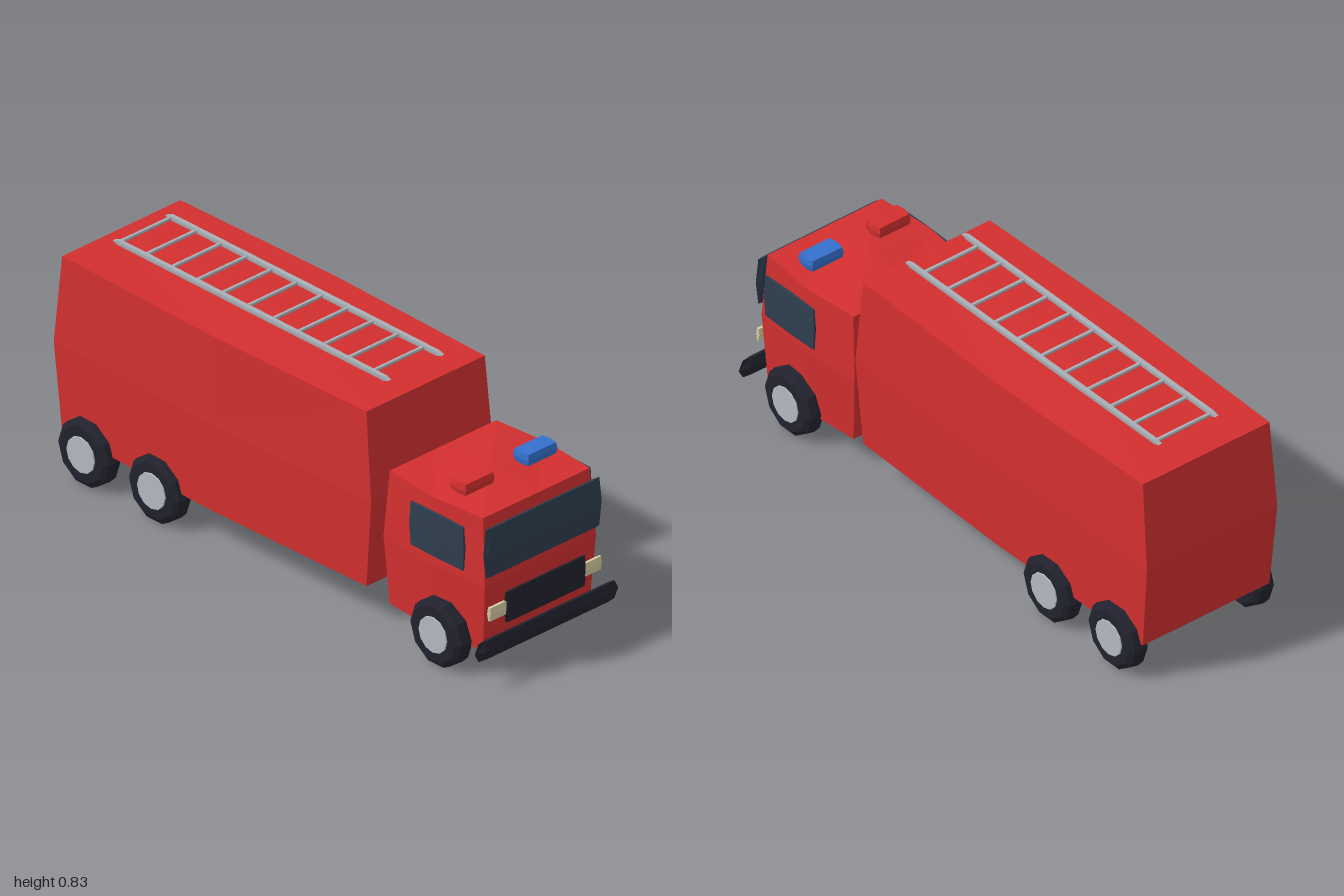
import * as THREE from 'three';

const mat = (name, color) => {
  const m = new THREE.MeshStandardMaterial({ color, flatShading: true });
  m.name = name;
  return m;
};

// Box of half sizes h, whose middle vertices swell outward by b
function puffedBox(h, b) {
  const g = new THREE.BoxGeometry(2, 2, 2, 2, 2, 2);
  const p = g.attributes.position;
  for (let i = 0; i < p.count; i++) {
    const [u, v, w] = [p.getX(i), p.getY(i), p.getZ(i)].map(Math.round);
    const midU = u === 0 ? 1 : 0, midV = v === 0 ? 1 : 0, midW = w === 0 ? 1 : 0;
    p.setXYZ(i,
      u * (h[0] + b[0] * (0.35 * midV + 0.65 * midW)),
      v * (h[1] + b[1] * midU * midW),
      w * (h[2] + b[2] * midV));
  }
  g.computeVertexNormals();
  return g;
}

export function createModel() {
  const model = new THREE.Group();
  model.name = 'fireTruck';
  const red = mat('red paint', 0xd32f2f);
  const black = mat('dark rubber', 0x22222e);
  const glass = mat('dark glass', 0x2f3e4e);
  const grey = mat('wheel metal', 0xb4bac2);
  const steel = mat('ladder steel', 0xa8aeb4);
  const blue = mat('blue beacon', 0x3470cc);
  const cream = mat('headlight cream', 0xd6cca4);

  const add = (name, geo, material, x, y, z, parent = model) => {
    const mesh = new THREE.Mesh(geo, material);
    mesh.name = name;
    mesh.position.set(x, y, z);
    parent.add(mesh);
    return mesh;
  };

  // Body and cab
  add('body', puffedBox([0.262, 0.32, 0.7], [0.023, 0.014, 0.03]), red, 0, 0.465, -0.27);
  add('cab', puffedBox([0.236, 0.243, 0.215], [0.029, 0.021, 0.018]), red, 0, 0.348, 0.725);

  // Front fittings
  add('windscreen', puffedBox([0.232, 0.088, 0.004], [0.03, 0.003, 0.004]), glass, 0, 0.476, 0.968);
  add('grille', puffedBox([0.163, 0.055, 0.004], [0.02, 0.002, 0.004]), black, 0, 0.257, 0.98);
  add('bumper', puffedBox([0.268, 0.033, 0.005], [0.05, 0.002, 0.009]), black, 0, 0.141, 0.986);

  for (const s of [-1, 1]) {
    add('headlight', puffedBox([0.037, 0.024, 0.005], [0.004, 0.001, 0.003]), cream, s * 0.208, 0.257, 0.977);
    add('sideWindow', puffedBox([0.003, 0.079, 0.12], [0.004, 0.001, 0.005]), glass, s * 0.28, 0.478, 0.775);
    add(s < 0 ? 'redBeacon' : 'blueBeacon', puffedBox([0.061, 0.02, 0.032], [0.009, 0.001, 0.004]),
      s < 0 ? red : blue, s * 0.139, 0.631, 0.79);
  }

  // Wheels: ten-sided tyre turned about the x axis, with a hub on the outside
  const profile = [[0, -0.037], [0.1, -0.037], [0.117, -0.026], [0.122, 0], [0.117, 0.026], [0.1, 0.037], [0, 0.037]];
  const tyre = new THREE.LatheGeometry(profile.map(([r, h]) => new THREE.Vector2(r, h)), 10);
  const hub = new THREE.CylinderGeometry(0.064, 0.066, 0.008, 12);
  for (const z of [0.775, -0.52, -0.845]) {
    for (const s of [-1, 1]) {
      const wheel = new THREE.Group();
      wheel.name = 'wheel';
      wheel.position.set(s * 0.261, 0.122, z);
      wheel.rotation.z = -s * Math.PI / 2;
      add('tyre', tyre, black, 0, 0, 0, wheel);
      add('hub', hub, grey, 0, 0.037, 0, wheel);
      model.add(wheel);
    }
  }

  // Roof ladder
  const ladder = new THREE.Group();
  ladder.name = 'ladder';
  ladder.position.set(0, 0.825, -0.247);
  model.add(ladder);
  const rail = puffedBox([0.007, 0.008, 0.612], [0.002, 0.001, 0.022]);
  const rung = puffedBox([0.105, 0.005, 0.005], [0.006, 0.001, 0.002]);
  for (const s of [-1, 1]) add('rail', rail, steel, s * 0.117, 0, 0, ladder);
  for (let i = 0; i < 11; i++) add('rung', rung, steel, 0, 0, -0.61 + i * 0.1163, ladder);

  return model;
}
